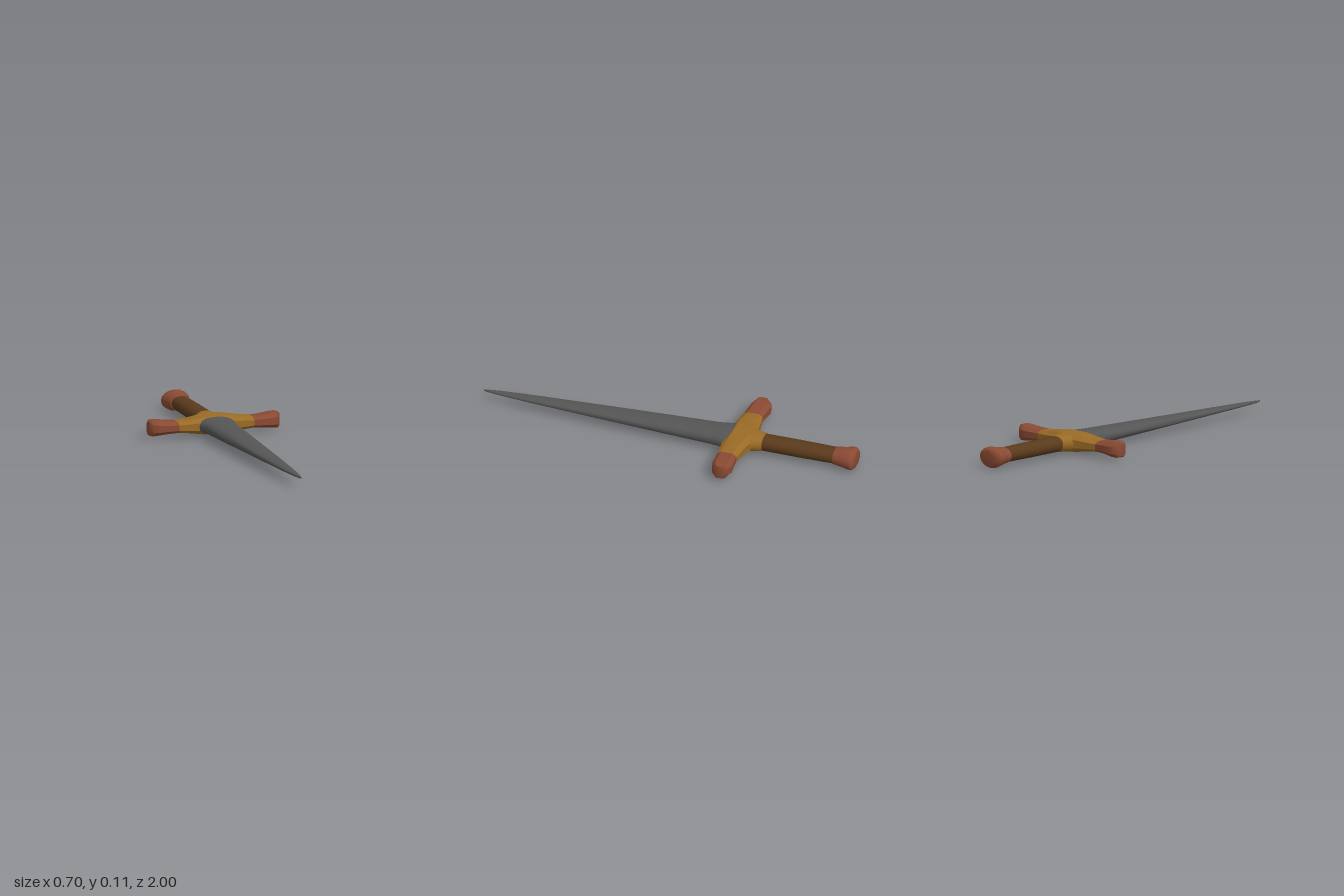
import * as THREE from 'three';
import { toCreasedNormals } from 'three/addons/utils/BufferGeometryUtils.js';

const MID = 0.055; // height of the centre line

// Superellipse ring of n unit points, counter-clockwise
function ring(n, power, turn = 0) {
  const bend = (v) => Math.sign(v) * Math.pow(Math.abs(v), 2 / power);
  return Array.from({ length: n }, (_, i) => {
    const a = ((i + turn) / n) * Math.PI * 2;
    return [bend(Math.cos(a)), bend(Math.sin(a))];
  });
}

// Skin through sections [position, halfWidth, halfHeight, sideways shift] along +z, with end caps
function loft(unit, sections, crease) {
  const n = unit.length, pos = [], idx = [];
  for (const [z, w, h, shift = 0] of sections)
    for (const [u, v] of unit) pos.push(u * w + shift, v * h, z);
  for (let i = 0; i < sections.length - 1; i++)
    for (let j = 0; j < n; j++) {
      const a = i * n + j, b = i * n + ((j + 1) % n);
      idx.push(a, b, b + n, a, b + n, a + n);
    }
  const last = sections.length - 1;
  for (const i of [0, last]) {
    const c = pos.length / 3, [z, , , shift = 0] = sections[i];
    pos.push(shift, 0, z);
    for (let j = 0; j < n; j++) {
      const a = i * n + j, b = i * n + ((j + 1) % n);
      if (i === 0) idx.push(c, b, a);
      else idx.push(c, a, b);
    }
  }
  const g = new THREE.BufferGeometry();
  g.setAttribute('position', new THREE.Float32BufferAttribute(pos, 3));
  g.setIndex(idx);
  return toCreasedNormals(g, crease);
}

export function createModel() {
  const group = new THREE.Group();
  const paint = (color) => new THREE.MeshStandardMaterial({ color });
  const steel = paint(0x555555), brass = paint(0x9a6b26);
  const leather = paint(0x5a3a1c), copper = paint(0x8a4a33);

  function add(name, geometry, material) {
    const mesh = new THREE.Mesh(geometry, material);
    mesh.name = name;
    mesh.position.y = MID;
    group.add(mesh);
  }

  // Blade: flared root, long taper, blunt tip
  add('blade', loft(ring(24, 2.4), [
    [-0.36, 0.1, 0.043], [-0.31, 0.096, 0.043], [-0.28, 0.086, 0.042], [-0.24, 0.081, 0.04],
    [0, 0.071, 0.033], [0.3, 0.057, 0.024], [0.6, 0.04, 0.016], [0.8, 0.027, 0.011],
    [0.92, 0.016, 0.008], [0.97, 0.008, 0.006], [1, 0.002, 0.004],
  ], 0.7), steel);

  // Grip
  add('grip', loft(ring(16, 2.2), [
    [-0.9, 0.051, 0.037], [-0.7, 0.053, 0.039], [-0.45, 0.051, 0.039],
  ], 0.7), leather);

  // Pommel with a slightly domed end
  add('pommel', loft(ring(16, 2), [
    [-1, 0.03, 0.022], [-0.996, 0.06, 0.042], [-0.982, 0.075, 0.053], [-0.965, 0.073, 0.054],
    [-0.93, 0.062, 0.047], [-0.885, 0.056, 0.041],
  ], 0.7), copper);

  // Collar where the guard runs back over the grip
  add('collar', loft(ring(16, 2.4), [
    [-0.505, 0.054, 0.041], [-0.47, 0.062, 0.043], [-0.44, 0.078, 0.045], [-0.4, 0.09, 0.045],
  ], 0.7), brass);

  // Cross guard: [x, front z, back z, half height], mirrored about x = 0
  const chamfered = [[1, -0.5], [1, 0.5], [0.6, 1], [-0.6, 1], [-1, 0.5], [-1, -0.5], [-0.6, -1], [0.6, -1]];
  const section = ([x, front, back, h]) => [x, (front - back) / 2, h, -(front + back) / 2];
  const half = [
    [0.03, -0.312, -0.46, 0.046], [0.065, -0.312, -0.452, 0.044], [0.1, -0.312, -0.441, 0.039],
    [0.15, -0.317, -0.433, 0.032], [0.2, -0.322, -0.424, 0.028],
  ];
  const mirrored = half.map(([x, ...rest]) => [-x, ...rest]).reverse();
  add('crossGuard', loft(chamfered, [...mirrored, ...half].map(section), 0.6).rotateY(Math.PI / 2), brass);

  // Rounded guard ends
  const end = [
    [0.2, -0.322, -0.424, 0.028], [0.25, -0.325, -0.428, 0.031], [0.3, -0.329, -0.434, 0.037],
    [0.33, -0.338, -0.425, 0.04], [0.344, -0.352, -0.41, 0.038], [0.35, -0.365, -0.397, 0.033],
  ];
  add('leftGuardEnd', loft(chamfered, end.map(section), 0.6).rotateY(Math.PI / 2), copper);
  const flipped = end.map(([x, ...rest]) => [-x, ...rest]).reverse();
  add('rightGuardEnd', loft(chamfered, flipped.map(section), 0.6).rotateY(Math.PI / 2), copper);

  return group;
}
